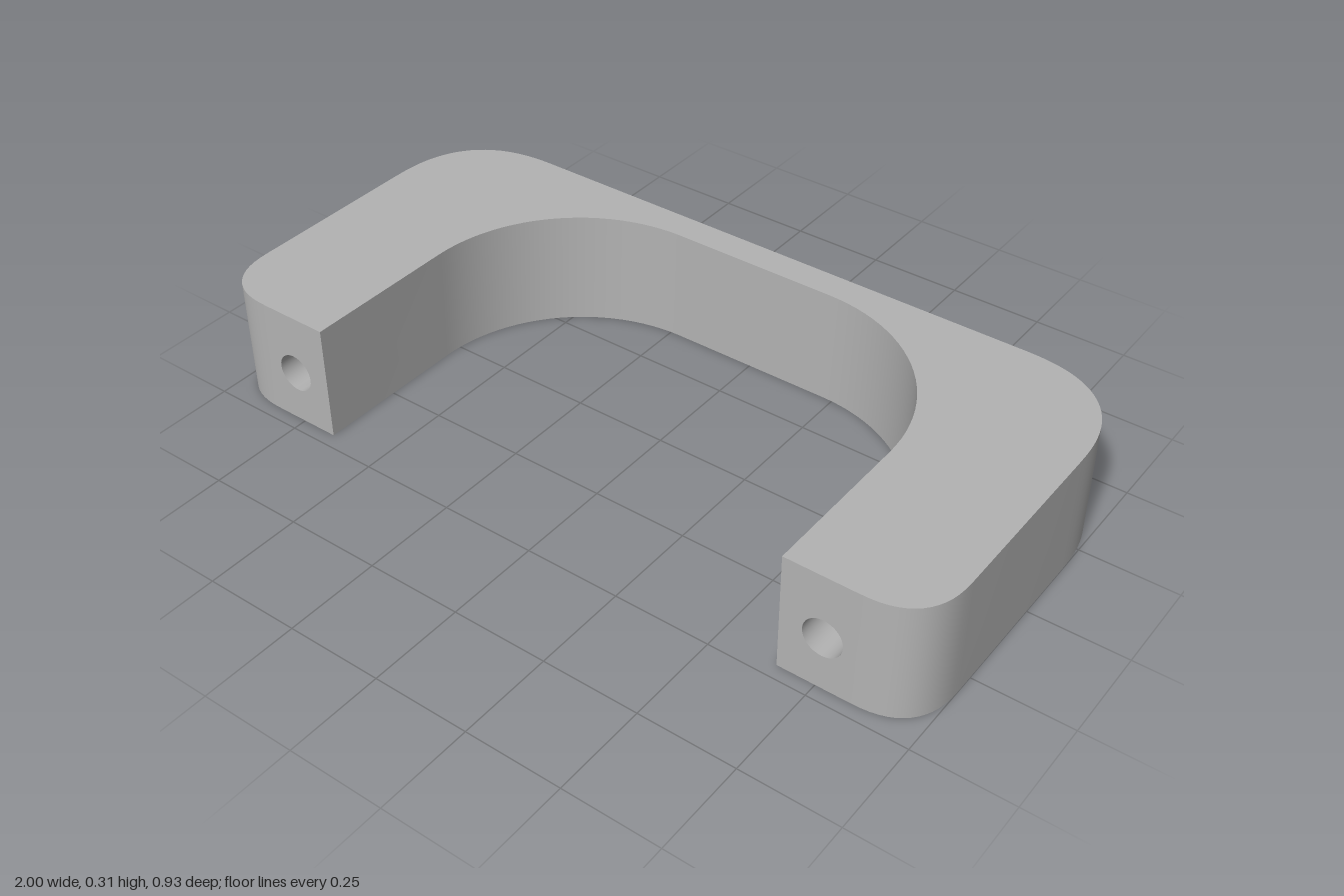
import * as THREE from 'three';
import { toCreasedNormals } from 'three/addons/utils/BufferGeometryUtils.js';

const H = 0.31, Z = 0.463;                  // height, half depth
const HX = 0.76, HY = 0.142;                // screw hole axis
const BORE = 0.105, SHANK = 0.05, FLOOR = 0.3;
const INNER = 0.653, N = 2.55;              // inner half width, corner squareness
const BACK_R = 0.3, FRONT_R = 0.17, ARC_R = 0.43;

// Depth of the back face at a given x
function backZ(x) {
  const d = Math.max(0, Math.abs(x) - (1 - BACK_R)) / BACK_R;
  return -(Z - BACK_R) - BACK_R * Math.pow(1 - Math.pow(d, N), 1 / N);
}

// Lower and upper edge of the teardrop bore at a given x
function boreGap(x) {
  const d = Math.abs(Math.abs(x) - HX);
  if (d >= BORE) return [HY, HY];
  const h = Math.sqrt(BORE * BORE - d * d);
  return [HY - h, HY + (d < BORE * Math.SQRT1_2 ? BORE * Math.SQRT2 - d : h)];
}

function surface(positions, index) {
  const g = new THREE.BufferGeometry();
  g.setAttribute('position', new THREE.Float32BufferAttribute(positions, 3));
  g.setIndex(index);
  return toCreasedNormals(g, 0.5);
}

// Upright wall along a plan path, left to right as seen from outside
function wall(path, gapAt) {
  const pos = [], idx = [];
  path.forEach(([x, z], i) => {
    const [lo, hi] = gapAt(x, z);
    for (const y of [0, lo, hi, H]) pos.push(x, y, z);
    if (i === 0) return;
    for (const k of [0, 2]) {
      const b = i * 4 + k, a = b - 4;
      idx.push(a, b, b + 1, a, b + 1, a + 1);
    }
  });
  return surface(pos, idx);
}

// Inward-facing tube between two depths, around a counter-clockwise loop
function holeWall(loop, nearZ, farZ) {
  const pos = [], idx = [], n = loop.length;
  loop.forEach((p, i) => {
    pos.push(p.x, p.y, nearZ(p.x), p.x, p.y, farZ);
    const a = i * 2, b = ((i + 1) % n) * 2;
    idx.push(a, a + 1, b + 1, a, b + 1, b);
  });
  return surface(pos, idx);
}

function mirrorPath(half) {
  return [...half, ...half.map(([x, z]) => [-x, z]).reverse()];
}

function outerPath() {
  const half = [];
  for (let i = 0; i <= 14; i++) {            // front corner
    const a = (1 - i / 14) * Math.PI / 2;
    half.push([
      1 - FRONT_R + FRONT_R * Math.pow(Math.max(0, Math.cos(a)), 2 / N),
      Z - FRONT_R + FRONT_R * Math.pow(Math.sin(a), 2 / N),
    ]);
  }
  for (let i = 0; i <= 14; i++) {            // back corner up to the bore
    const a = 1.08 * i / 14;
    half.push([
      1 - BACK_R + BACK_R * Math.pow(Math.cos(a), 2 / N),
      -(Z - BACK_R) - BACK_R * Math.pow(Math.sin(a), 2 / N),
    ]);
  }
  for (let i = 0; i <= 32; i++) {            // across the bore
    const x = HX + BORE * Math.cos(Math.PI * i / 32);
    half.push([x, backZ(x)]);
  }
  return mirrorPath(half);
}

function innerPath() {
  const half = [[INNER, Z]];
  for (let i = 0; i <= 24; i++) {
    const a = i / 24 * Math.PI / 2;
    half.push([INNER - ARC_R + ARC_R * Math.cos(a), 0.047 - ARC_R * Math.sin(a)]);
  }
  return mirrorPath(half);
}

function teardrop(cx) {
  const low = [], high = [];
  for (let i = 0; i <= 32; i++) {
    const x = cx - BORE * Math.cos(Math.PI * i / 32);
    const [lo, hi] = boreGap(x);
    low.push(new THREE.Vector2(x, lo));
    if (i > 0 && i < 32) high.unshift(new THREE.Vector2(x, hi));
  }
  return [...low, ...high];
}

function circle(cx) {
  return Array.from({ length: 32 }, (_, i) => {
    const a = i / 32 * Math.PI * 2;
    return new THREE.Vector2(cx + SHANK * Math.cos(a), HY + SHANK * Math.sin(a));
  });
}

function plate(points, hole) {
  const s = new THREE.Shape(points);
  if (hole) s.holes.push(new THREE.Path(hole));
  return new THREE.ShapeGeometry(s);
}

export function createModel() {
  const group = new THREE.Group();
  group.name = 'pullHandle';
  const grey = new THREE.MeshStandardMaterial({ color: 0xb3b3b3, side: THREE.DoubleSide });
  grey.name = 'grey';
  const add = (name, geometry) => {
    const m = new THREE.Mesh(geometry, grey);
    m.name = name;
    group.add(m);
    return m;
  };

  // Body walls
  const outer = outerPath(), inner = innerPath();
  add('outerWall', wall(outer, (x, z) => (z < 0 ? boreGap(x) : [HY, HY])));
  add('innerWall', wall([...inner].reverse(), () => [HY, HY]));

  // Top and bottom faces
  const plan = [...outer, ...[...inner].reverse()];
  const top = plate(plan.map(([x, z]) => new THREE.Vector2(x, -z)));
  add('topFace', top.rotateX(-Math.PI / 2)).position.y = H;
  const bottom = plate(plan.map(([x, z]) => new THREE.Vector2(x, z)));
  add('bottomFace', bottom.rotateX(Math.PI / 2));

  // Mounting feet with counterbored screw holes
  for (const [side, s] of [['left', 1], ['right', -1]]) {
    const cx = s * HX, x0 = s * INNER, x1 = s * (1 - FRONT_R);
    const foot = [[x0, 0], [x1, 0], [x1, H], [x0, H]].map(p => new THREE.Vector2(...p));
    add(side + 'FootFace', plate(foot, circle(cx))).position.z = Z;
    add(side + 'ScrewHole', holeWall(circle(cx), () => FLOOR, Z));
    add(side + 'Counterbore', holeWall(teardrop(cx), backZ, FLOOR));
    const floor = plate(teardrop(0).length ? teardrop(cx).map(p => new THREE.Vector2(2 * cx - p.x, p.y)) : [], circle(cx));
    floor.translate(-cx, 0, 0).rotateY(Math.PI);
    add(side + 'CounterboreFloor', floor).position.set(cx, 0, FLOOR);
  }
  return group;
}
